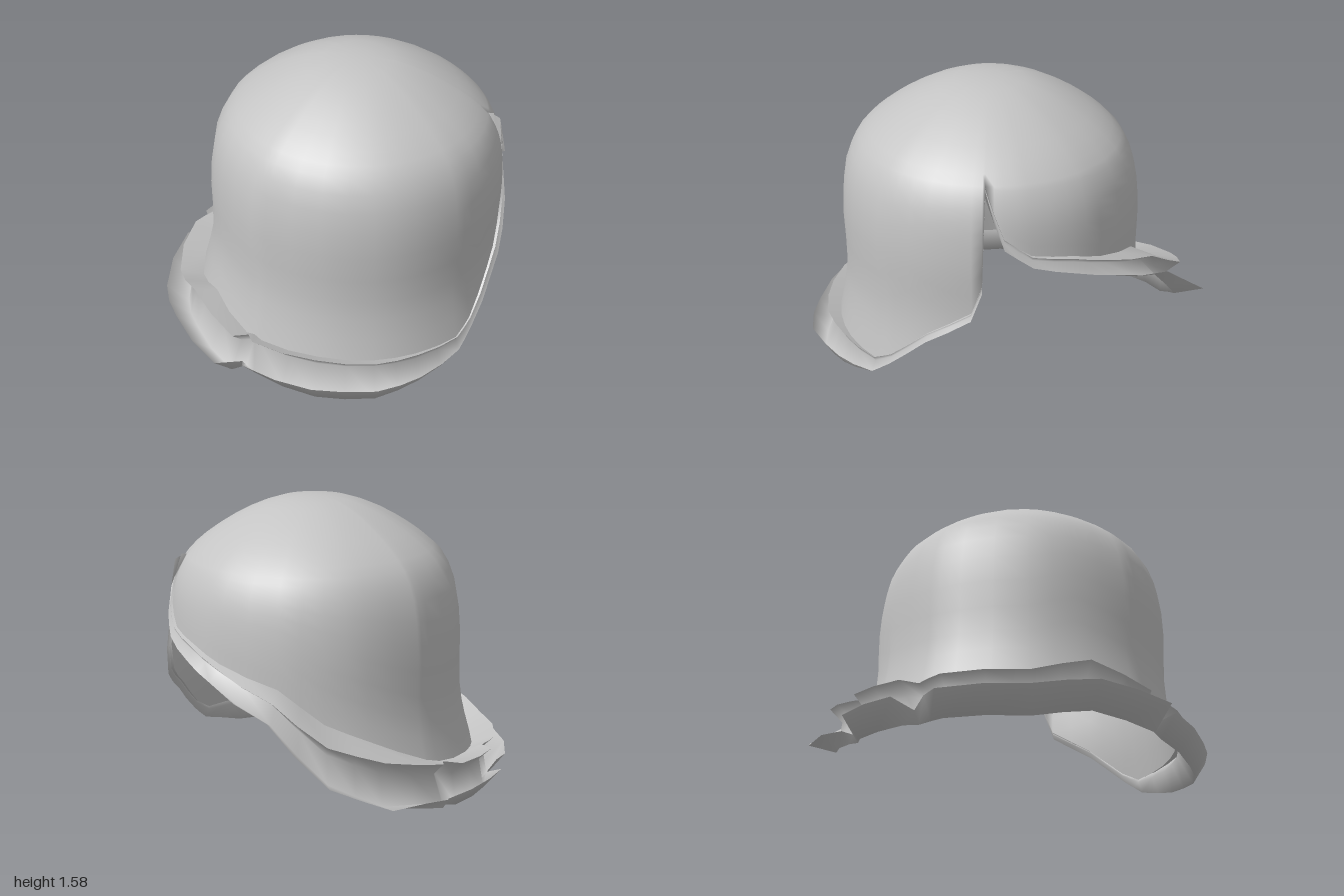
import * as THREE from 'three';
import { mergeVertices } from 'three/addons/utils/BufferGeometryUtils.js';

const { lerp, clamp, degToRad } = THREE.MathUtils;
const CX = 0.115, CZ = -0.09; // axis of the crown
const NOTCH_Y = 1.27;         // top of the slit at the back

// Crown profile: radius, height
const profile = new THREE.SplineCurve([
  [0, 1.58], [0.18, 1.568], [0.36, 1.505], [0.52, 1.415], [0.635, 1.33], [0.72, 1.235],
  [0.778, 1.08], [0.8, 0.85], [0.795, 0.6], [0.815, 0.4], [0.86, 0.2], [0.88, 0.05],
].map(([r, y]) => new THREE.Vector2(r, y)));

// Hem all the way round, starting and ending at the back notch:
// angle in degrees (0 = front, 90 = +x), crest height, bottom height, outer radius, width of the turned-up lip
const hem = [
  [-225, 1.27, 1.24, 0.76, 0], [-218, 1.02, 0.97, 0.81, 0], [-208, 0.92, 0.87, 0.83, 0],
  [-192, 0.87, 0.8, 0.85, 0], [-178, 0.8, 0.73, 0.88, 0], [-154, 0.68, 0.57, 1.01, 0.07],
  [-137, 0.5, 0.3, 1.19, 0.16], [-121, 0.4, 0.15, 1.16, 0.15], [-99, 0.3, 0.06, 1.05, 0.05],
  [-97, 0.3, 0.06, 1.0, 0.03], [-93, 0.29, 0.05, 1.1, 0.1], [-73, 0.26, 0.03, 1.09, 0.1],
  [-69, 0.25, 0.03, 0.99, 0.04], [-60, 0.25, 0.03, 1.07, 0.1], [-34, 0.24, 0.01, 1.09, 0.12],
  [-16, 0.33, 0.06, 1.09, 0.12], [6, 0.25, 0.02, 1.095, 0.12], [9.5, 0.25, 0.05, 0.95, 0.03],
  [13, 0.25, 0.03, 1.02, 0.1], [36, 0.25, 0, 1.0, 0.08], [56, 0.24, 0.02, 1.0, 0.07],
  [72, 0.22, 0.05, 0.91, 0.03], [90, 0.21, 0.13, 0.86, 0], [98, 0.27, 0.22, 0.84, 0],
  [113, 0.45, 0.41, 0.82, 0], [130, 0.6, 0.57, 0.82, 0], [134, 0.76, 0.73, 0.82, 0],
  [135, 1.27, 1.24, 0.76, 0],
];

// Columns: each hem span is halved when it is wide
const columns = [];
hem.forEach((h, i) => {
  columns.push(h);
  const next = hem[i + 1];
  if (next && next[0] - h[0] > 6) columns.push(h.map((v, k) => (v + next[k]) / 2));
});

// Profile parameter at a given height
function paramAt(y) {
  let lo = 0, hi = 1;
  for (let i = 0; i < 24; i++) {
    const mid = (lo + hi) / 2;
    if (profile.getPoint(mid).y > y) lo = mid; else hi = mid;
  }
  return lo;
}

// Skin a list of sections, each a list of [radius, height]
function skin(sections) {
  const pos = [], index = [], rows = sections[0].length;
  sections.forEach((section, c) => {
    const a = degToRad(columns[c][0]);
    for (const [r, y] of section) pos.push(CX + r * Math.sin(a), y, CZ + r * Math.cos(a));
  });
  for (let c = 0; c < sections.length - 1; c++) {
    for (let i = 0; i < rows - 1; i++) {
      const a = c * rows + i, b = a + rows;
      index.push(a, b + 1, b, a, a + 1, b + 1);
    }
  }
  let geo = new THREE.BufferGeometry();
  geo.setAttribute('position', new THREE.Float32BufferAttribute(pos, 3));
  geo.setIndex(index);
  geo = mergeVertices(geo, 1e-4);
  geo.computeVertexNormals();
  return geo;
}

export function createModel() {
  const felt = new THREE.MeshStandardMaterial({ color: 0xc4c4c4, side: THREE.DoubleSide });
  felt.name = 'grey felt';
  const parts = { crown: [], upperBrim: [], lowerBrim: [] };
  const ROWS = 9, notchParam = paramAt(NOTCH_Y);

  for (const [angle, yCrest, yBottom, rOuter, lip] of columns) {
    const sin = Math.sin(degToRad(angle)), cos = Math.cos(degToRad(angle));
    const fold = clamp((rOuter - 0.82) / 0.2, 0, 1);
    const upturn = clamp(1 + 1.4 * cos, 0.3, 1); // the brim lies flatter at the back

    // Crown: a closed dome down to the notch, then a wall that leans towards -x
    const end = Math.max(notchParam, paramAt(yCrest + fold * lerp(0.07, -0.04, upturn)));
    const wall = [];
    for (let i = 0; i <= ROWS; i++) wall.push(profile.getPoint(notchParam * i / ROWS).toArray());
    for (let i = 1; i <= ROWS; i++) {
      const t = lerp(notchParam, end, i / ROWS), p = profile.getPoint(t);
      const drop = (t - notchParam) / (1 - notchParam);
      wall.push([p.x - 0.04 * sin * drop * drop, p.y]);
    }
    parts.crown.push(wall);

    // Upper brim: valley to crest
    const [rWall, yWall] = wall[2 * ROWS];
    const width = Math.max(rOuter - rWall, 0.005);
    const rCrest = rWall + width * (0.45 + 0.28 * Math.max(0, -sin));
    parts.upperBrim.push([[rWall, yWall], [rCrest, yCrest]]);

    // Lower brim: tucked under the crest, down to the bottom, out to the turned-up lip
    parts.lowerBrim.push([
      [rCrest, yCrest],
      [rCrest - 0.07 * fold, lerp(yCrest, yBottom, 0.3)],
      [rWall + width - lip, yBottom],
      [rWall + width, yBottom + upturn * Math.min(0.12, lip * 1.6)],
    ]);
  }

  const group = new THREE.Group();
  group.name = 'hat';
  for (const [name, sections] of Object.entries(parts)) {
    const mesh = new THREE.Mesh(skin(sections), felt);
    mesh.name = name;
    group.add(mesh);
  }
  return group;
}
